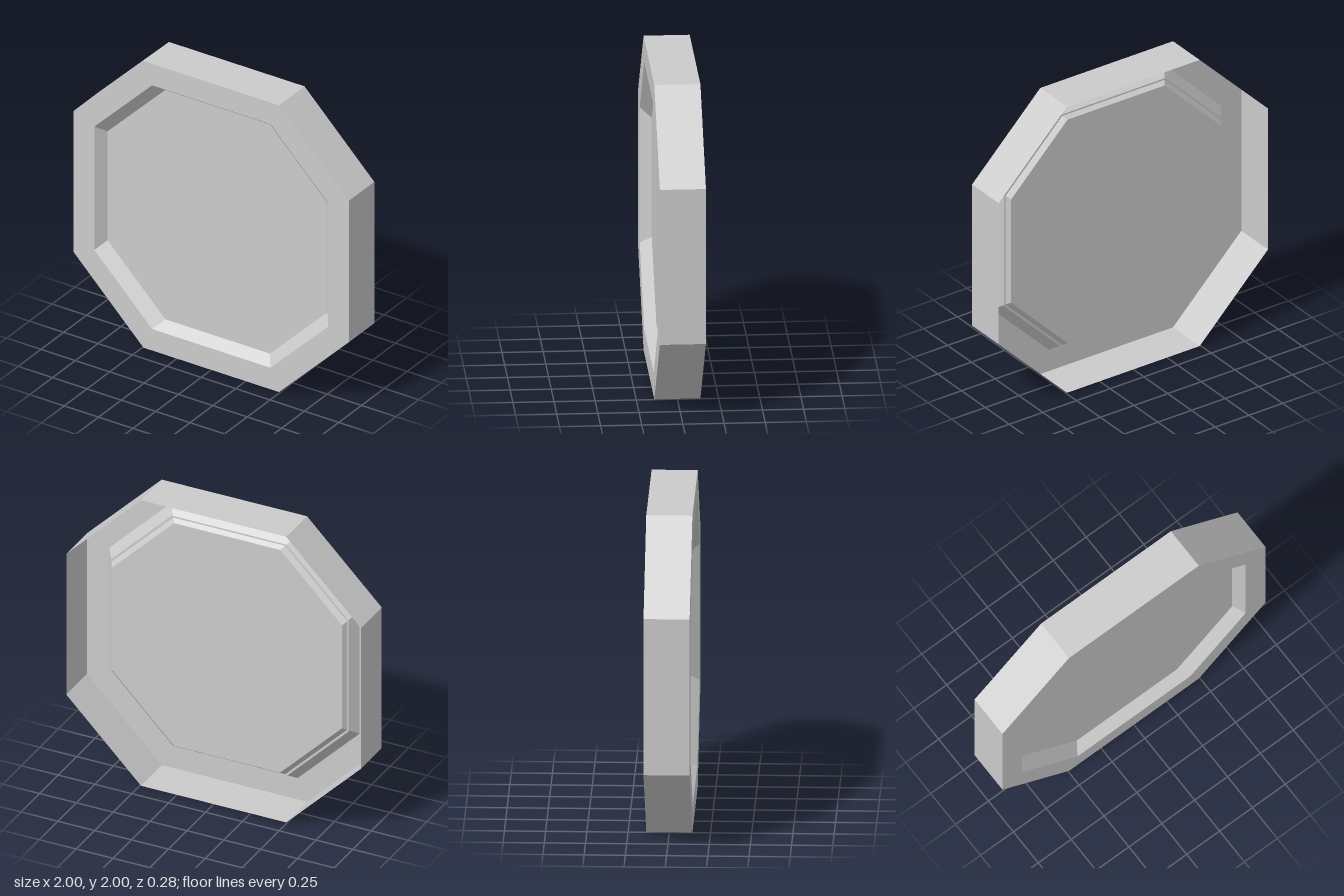
import * as THREE from 'three';

// Octagon corners, counter-clockwise from the front: a = half width, h = half length of a flat side
function octagon([a, h, z]) {
  return [[a, -h], [a, h], [h, a], [-h, a], [-a, h], [-a, -h], [-h, -a], [h, -a]]
    .map(([x, y]) => new THREE.Vector3(x, y, z));
}

// Joins successive octagons with flat faces; an octagon of size 0 closes the end
function loft(name, sections) {
  const rings = sections.map(octagon);
  const points = [];
  for (let i = 0; i < rings.length - 1; i++) {
    for (let k = 0; k < 8; k++) {
      const n = (k + 1) % 8;
      const [a, b, c, d] = [rings[i][k], rings[i][n], rings[i + 1][n], rings[i + 1][k]];
      points.push(a, b, c);
      if (sections[i + 1][0] > 0) points.push(a, c, d);
    }
  }
  const geometry = new THREE.BufferGeometry().setFromPoints(points);
  geometry.computeVertexNormals();
  const material = new THREE.MeshStandardMaterial({
    color: 0xcccccc, flatShading: true, side: THREE.DoubleSide,
  });
  const mesh = new THREE.Mesh(geometry, material);
  mesh.name = name;
  mesh.position.y = 1;
  return mesh;
}

export function createModel() {
  const group = new THREE.Group();
  group.name = 'octagonalFrame';

  // Hollow frame, open at the back: outer wall, front border and sloped inner lip
  group.add(loft('frame', [
    [1, 0.493, -0.14],
    [1, 0.493, 0.14],
    [0.85, 0.43, 0.14],
    [0.78, 0.36, 0.042],
  ]));

  // Thin pane across the opening, its rim reaching slightly through the lip
  group.add(loft('pane', [
    [0.81, 0.39, 0.07],
    [0, 0, 0.07],
  ]));

  return group;
}
